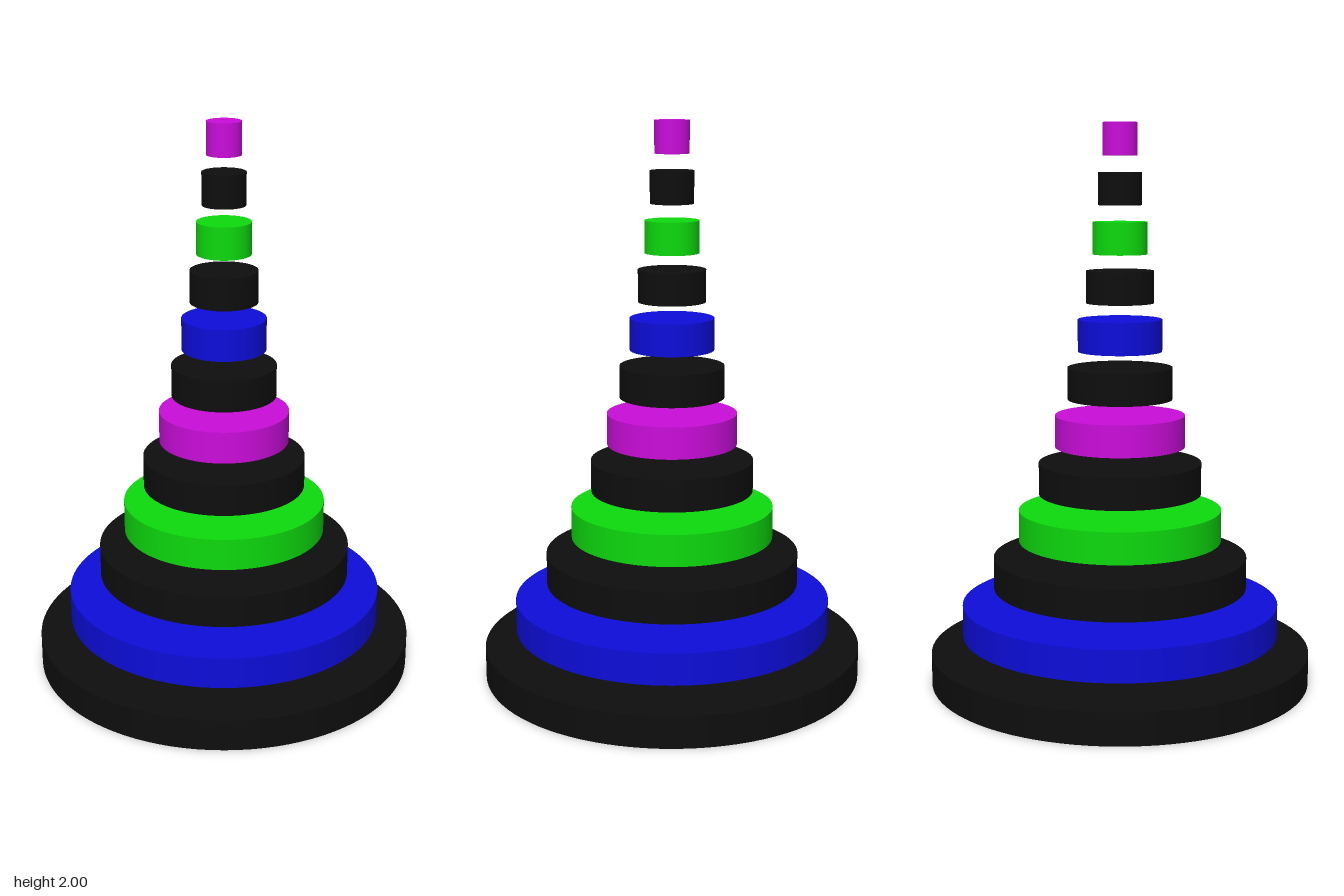
import * as THREE from 'three';

const material = (name, color) => {
  const m = new THREE.MeshStandardMaterial({ color });
  m.name = name;
  return m;
};

export function createModel() {
  const group = new THREE.Group();
  group.name = 'floatingDiscTower';

  const black = material('black', 0x0e0e0e);
  const blue = material('blue', 0x0d0dda);
  const green = material('green', 0x0dda0d);
  const magenta = material('magenta', 0xca0dda);
  const accents = [blue, green, magenta];

  // Disc radii from the base to the tip
  const radii = [0.685, 0.571, 0.457, 0.365, 0.292, 0.233, 0.187, 0.15, 0.12, 0.096, 0.077, 0.061];
  const thickness = 0.1143;
  const pitch = (2 - thickness) / (radii.length - 1);

  // Separate discs with gaps, black alternating with the accent colours
  radii.forEach((radius, i) => {
    const colour = i % 2 === 0 ? black : accents[((i - 1) / 2) % 3];
    const disc = new THREE.Mesh(new THREE.CylinderGeometry(radius, radius, thickness, 96), colour);
    disc.name = `disc${i + 1}`;
    disc.position.y = thickness / 2 + i * pitch;
    group.add(disc);
  });

  return group;
}
